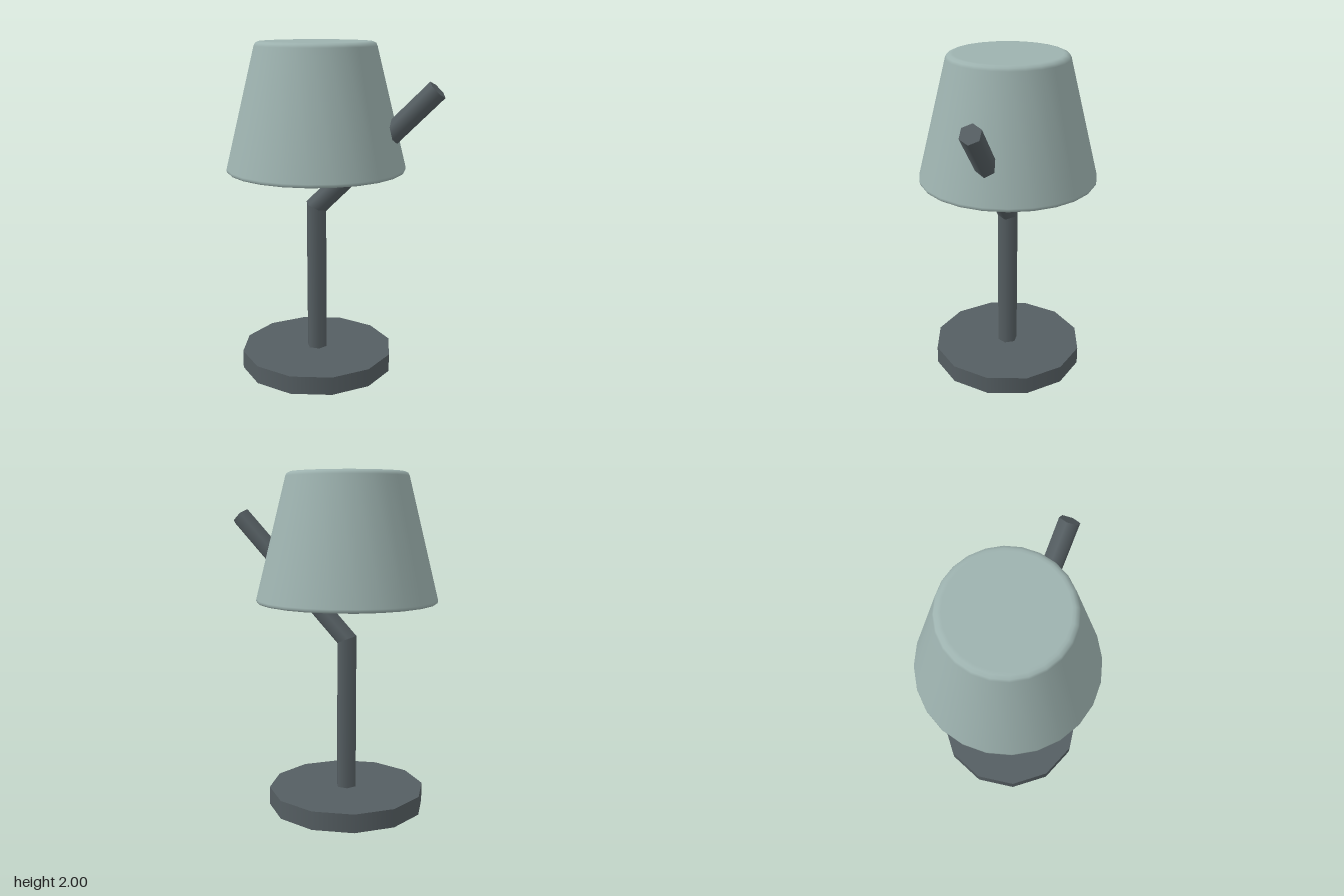
import * as THREE from 'three';

const shadeMat = new THREE.MeshStandardMaterial({ color: 0x9db2af });
shadeMat.name = 'pale sage';
const metalMat = new THREE.MeshStandardMaterial({ color: 0x555e62 });
metalMat.name = 'slate grey';

const AXIS_X = -0.12; // shared axis of base, pole and shade
const BEND_Y = 1.02;
const ROD_R = 0.0625;

function add(parent, name, geometry, material) {
  const mesh = new THREE.Mesh(geometry, material);
  mesh.name = name;
  parent.add(mesh);
  return mesh;
}

// Hexagonal rod starting at y = 0, with one end cut at the mitre of the bend
function rod(length, mitreTop) {
  const g = new THREE.CylinderGeometry(ROD_R, ROD_R, length, 6);
  g.rotateY(Math.PI / 2);
  g.translate(0, length / 2, 0);
  const p = g.attributes.position;
  const slope = Math.tan(Math.PI / 8);
  for (let i = 0; i < p.count; i++) {
    const top = p.getY(i) > length / 2;
    if (top === mitreTop) p.setY(i, p.getY(i) + (mitreTop ? -1 : 1) * slope * p.getX(i));
  }
  return g;
}

export function createModel() {
  const lamp = new THREE.Group();
  lamp.name = 'tableLamp';

  // Round faceted foot
  const base = add(lamp, 'base', new THREE.CylinderGeometry(0.47, 0.47, 0.11, 12), metalMat);
  base.position.set(AXIS_X, 0.055, 0);

  // Bent stem: upright pole, then an arm passing through the shade
  const stem = new THREE.Group();
  stem.name = 'stem';
  lamp.add(stem);
  const pole = add(stem, 'pole', rod(BEND_Y - 0.05, true), metalMat);
  pole.position.set(AXIS_X, 0.05, 0);
  const arm = add(stem, 'arm', rod(1.02, false), metalMat);
  arm.position.set(AXIS_X, BEND_Y, 0);
  arm.rotation.z = -Math.PI / 4;

  // Closed tapered shade with softly rounded rims
  const profile = [
    [0, 1.245], [0.515, 1.245], [0.529, 1.248], [0.535, 1.257], [0.534, 1.268],
    [0.358, 1.974], [0.35, 1.99], [0.332, 1.999], [0.315, 2], [0, 2],
  ].map(([r, y]) => new THREE.Vector2(r, y));
  const shade = add(lamp, 'shade', new THREE.LatheGeometry(profile, 24), shadeMat);
  shade.position.x = AXIS_X;

  // Bulb tip just showing below the shade
  const bulb = add(lamp, 'bulb', new THREE.SphereGeometry(0.08, 16, 12), shadeMat);
  bulb.position.set(AXIS_X, 1.316, 0);

  return lamp;
}
